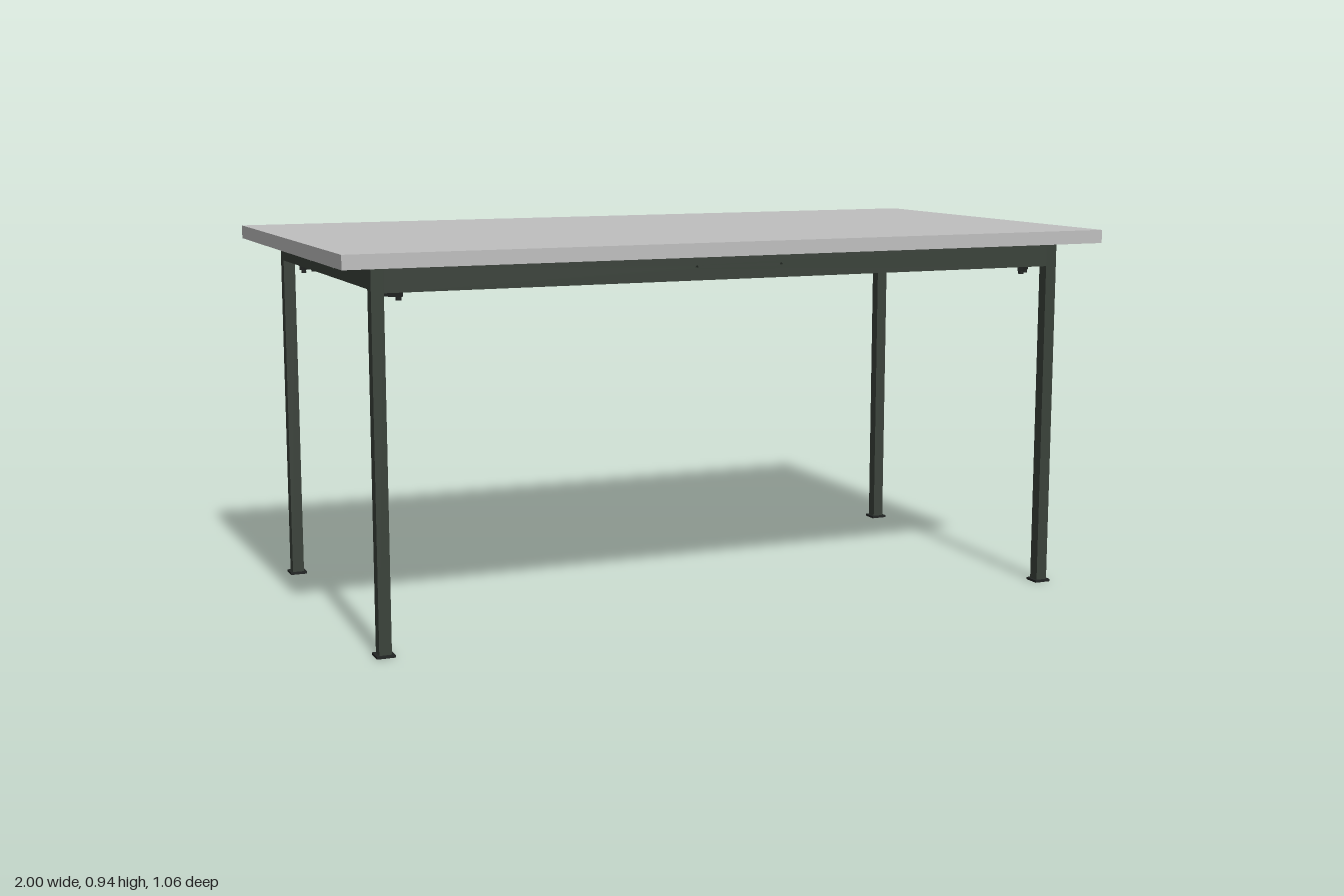
import * as THREE from 'three';

export function createModel() {
  const table = new THREE.Group();
  table.name = 'table';
  const mat = (name, color) => {
    const m = new THREE.MeshStandardMaterial({ color });
    m.name = name;
    return m;
  };
  const topGrey = mat('tabletop grey', 0xbfbfbf);
  const frameGreen = mat('frame dark green', 0x3a423a);
  const hardware = mat('hardware black', 0x222524);

  const add = (parent, name, geometry, material, x, y, z) => {
    const m = new THREE.Mesh(geometry, material);
    m.name = name;
    m.position.set(x, y, z);
    parent.add(m);
    return m;
  };
  // Box given by its bottom and top heights
  const block = (parent, name, material, w, d, y0, y1, x, z) =>
    add(parent, name, new THREE.BoxGeometry(w, y1 - y0, d), material, x, (y0 + y1) / 2, z);

  const LEG = 0.03, LX = 0.9, LZ = 0.438, FRAME_TOP = 0.901;

  block(table, 'tabletop', topGrey, 2, 1.062, 0.906, 0.94, 0, 0);

  // Rail with two small bolt holes, running along x
  const railGeometry = (length, y0) => {
    const h = length / 2;
    const s = new THREE.Shape([
      new THREE.Vector2(-h, y0), new THREE.Vector2(h, y0),
      new THREE.Vector2(h, FRAME_TOP), new THREE.Vector2(-h, FRAME_TOP),
    ]);
    for (const x of [-0.113, 0.113]) {
      s.holes.push(new THREE.Path().absarc(x, 0.876, 0.004, 0, Math.PI * 2, true));
    }
    const g = new THREE.ExtrudeGeometry(s, { depth: LEG, bevelEnabled: false, curveSegments: 6 });
    return g.translate(0, 0, -LEG / 2);
  };
  const longRail = railGeometry(2 * LX - LEG, 0.844);
  const sideRail = railGeometry(2 * LZ - LEG, 0.852).rotateY(Math.PI / 2);

  for (const s of [-1, 1]) {
    add(table, s > 0 ? 'frontRail' : 'backRail', longRail, frameGreen, 0, 0, s * LZ);
    add(table, s > 0 ? 'leftRail' : 'rightRail', sideRail, frameGreen, s * LX, 0, 0);
    // Middle fixing tabs between rails and tabletop
    block(table, 'longRailTab', hardware, 0.04, 0.08, 0.899, 0.906, 0, s * (LZ - 0.025));
    block(table, 'sideRailTab', hardware, 0.08, 0.04, 0.899, 0.906, s * (LX - 0.025), 0);
  }

  const shaft = new THREE.CylinderGeometry(0.004, 0.004, 0.066, 8);
  const head = new THREE.CylinderGeometry(0.007, 0.007, 0.008, 6);
  for (const sx of [-1, 1]) for (const sz of [-1, 1]) {
    // Leg with foot plate
    const leg = new THREE.Group();
    leg.name = 'leg';
    leg.position.set(sx * LX, 0, sz * LZ);
    table.add(leg);
    block(leg, 'legPost', frameGreen, LEG, LEG, 0.006, FRAME_TOP, 0, 0);
    block(leg, 'footPlate', hardware, 0.044, 0.044, 0, 0.006, 0, 0);

    // Diagonal corner clamp with two bolts
    const clamp = new THREE.Group();
    clamp.name = 'cornerClamp';
    clamp.position.set(sx * 0.856, 0, sz * 0.389);
    clamp.rotation.y = sx * sz * Math.PI / 4;
    table.add(clamp);
    block(clamp, 'clampBar', hardware, 0.066, 0.015, 0.83, 0.84, 0, 0);
    block(clamp, 'clampPad', hardware, 0.075, 0.035, 0.899, 0.906, 0, 0);
    for (const x of [-0.016, 0.016]) add(clamp, 'clampBolt', shaft, hardware, x, 0.87, 0);
    for (const x of [-0.025, 0.025]) add(clamp, 'boltHead', head, hardware, x, 0.826, 0);
  }
  return table;
}
